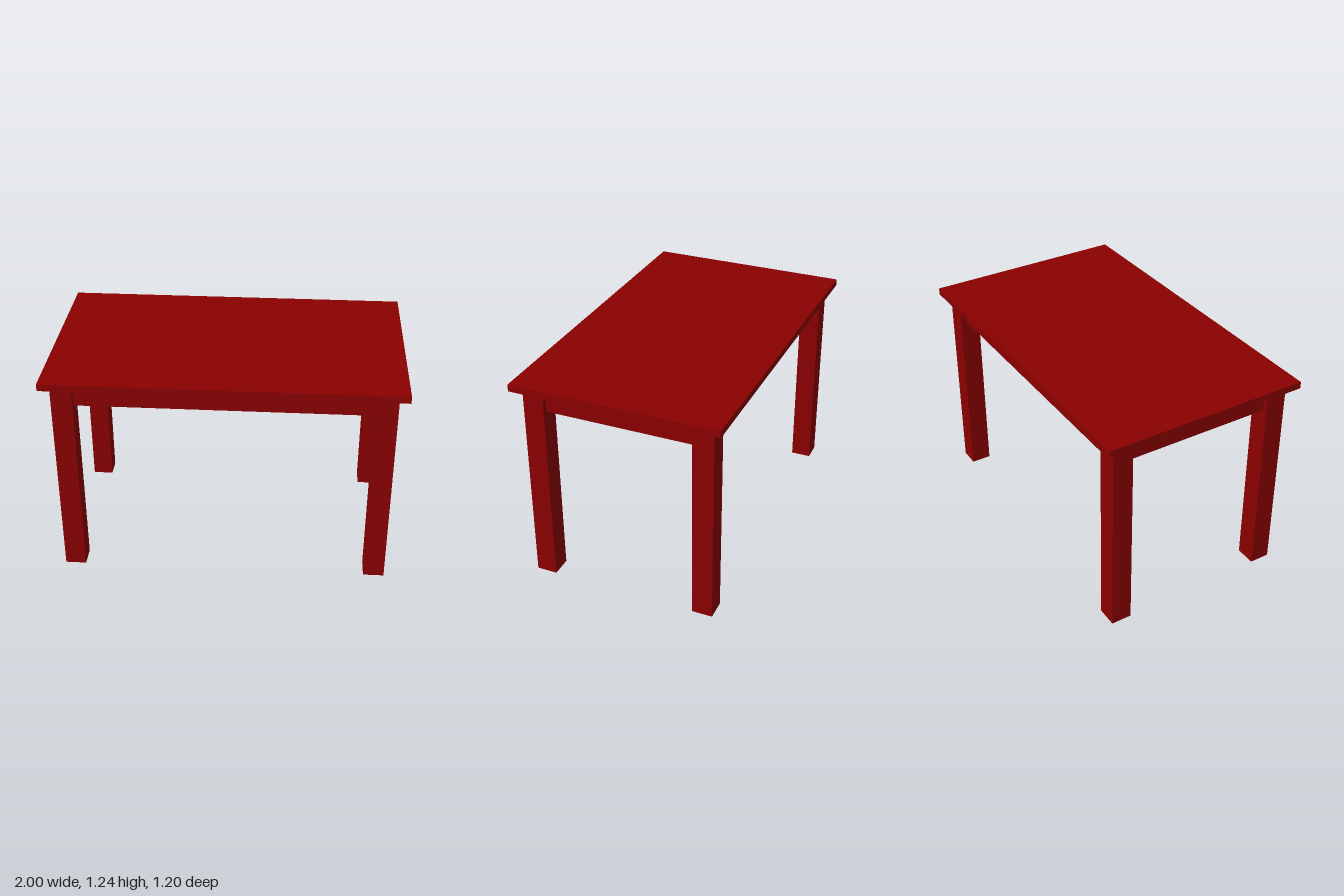
import * as THREE from 'three';

export function createModel() {
  const table = new THREE.Group();
  table.name = 'table';
  const material = new THREE.MeshStandardMaterial({ color: 0x8b0000 });

  const addBox = (name, width, height, depth, x, y, z) => {
    const mesh = new THREE.Mesh(new THREE.BoxGeometry(width, height, depth), material);
    mesh.name = name;
    mesh.position.set(x, y, z);
    table.add(mesh);
  };

  const legHeight = 1.2, legSize = 0.12, legX = 0.885, legZ = 0.487;
  const apronHeight = 0.13, apronThickness = 0.04, apronInset = 0.03;
  const apronY = legHeight - apronHeight / 2;
  const apronShift = legSize / 2 - apronInset - apronThickness / 2;

  // Tabletop
  addBox('tabletop', 2, 0.04, 1.2, 0, legHeight + 0.02, 0);

  // Legs
  for (const [xName, sx] of [['Left', 1], ['Right', -1]]) {
    for (const [zName, sz] of [['front', 1], ['back', -1]]) {
      addBox(`${zName}${xName}Leg`, legSize, legHeight, legSize, sx * legX, legHeight / 2, sz * legZ);
    }
  }

  // Aprons running between the legs, set back from their outer faces
  for (const [name, s] of [['front', 1], ['back', -1]]) {
    addBox(`${name}Apron`, 2 * legX - legSize, apronHeight, apronThickness, 0, apronY, s * (legZ + apronShift));
  }
  for (const [name, s] of [['left', 1], ['right', -1]]) {
    addBox(`${name}Apron`, apronThickness, apronHeight, 2 * legZ - legSize, s * (legX + apronShift), apronY, 0);
  }

  return table;
}
